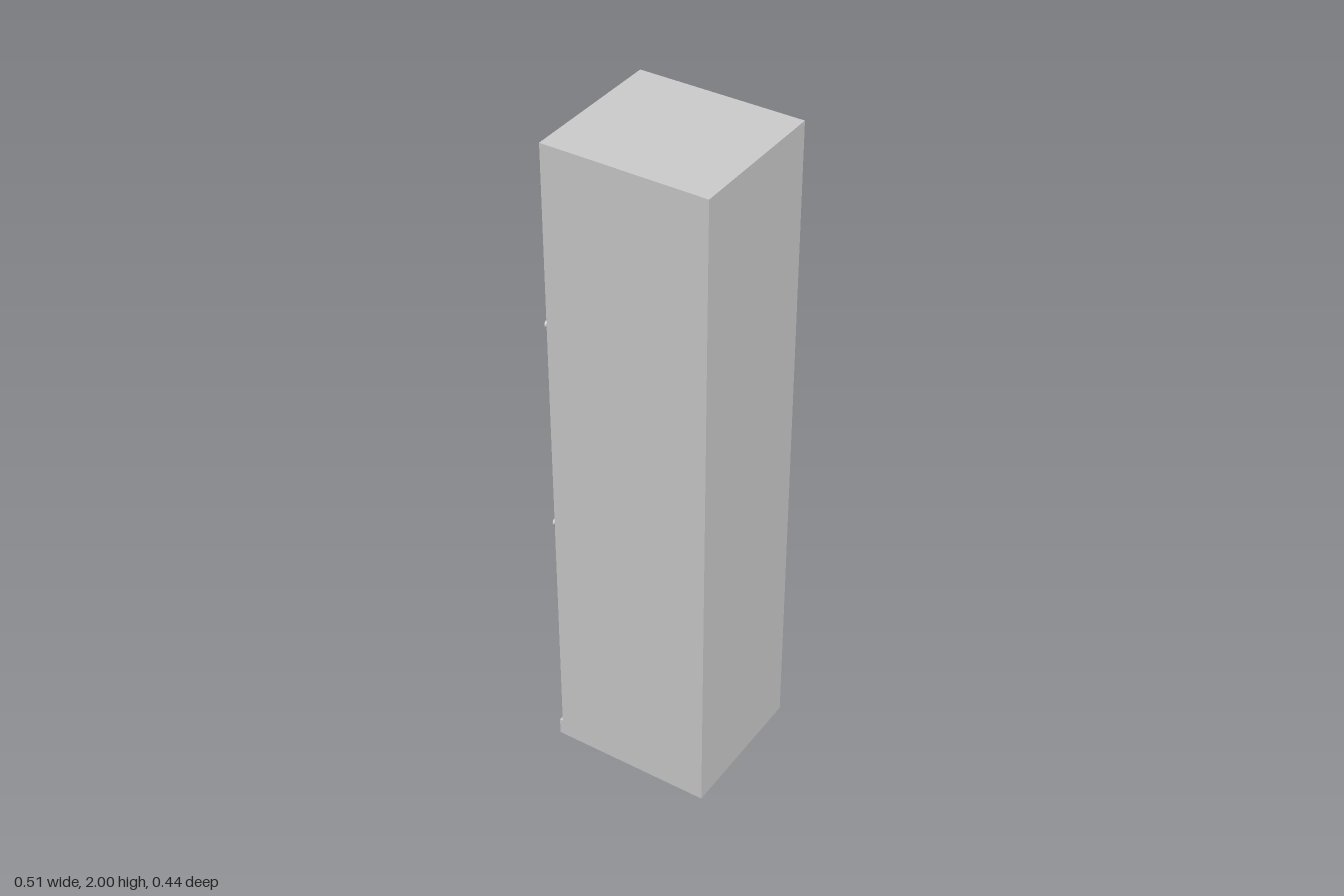
import * as THREE from 'three';

const material = new THREE.MeshStandardMaterial({ color: 0xcccccc });
const FACE = -0.23; // x of the cabinet face that carries the doors

function add(parent, name, geometry, x = 0, y = 0, z = 0) {
  const mesh = new THREE.Mesh(geometry, material);
  mesh.name = name;
  mesh.position.set(x, y, z);
  parent.add(mesh);
  return mesh;
}

function rectangle(target, w, h) {
  target.moveTo(-w, -h);
  target.lineTo(w, -h);
  target.lineTo(w, h);
  target.lineTo(-w, h);
  target.closePath();
  return target;
}

// Door: bevelled frame around a recessed panel, facing -x, with a turned knob
function makeDoor(name, y0, y1, knobY) {
  const door = new THREE.Group();
  door.name = name;
  const bevel = 0.004, halfW = 0.21, halfH = (y1 - y0) / 2, rail = 0.045;
  const midY = (y0 + y1) / 2;

  const shape = rectangle(new THREE.Shape(), halfW - bevel, halfH - bevel);
  shape.holes.push(rectangle(new THREE.Path(), halfW - rail + bevel, halfH - rail + bevel));
  const frame = new THREE.ExtrudeGeometry(shape, {
    depth: 0.0055, bevelEnabled: true, bevelSize: bevel, bevelThickness: bevel, bevelSegments: 1,
  });
  frame.rotateY(-Math.PI / 2);
  add(door, 'doorFrame', frame, FACE, midY);

  // Flat panel set back behind the frame
  add(door, 'doorPanel',
    new THREE.BoxGeometry(0.004, 2 * (halfH - rail) + 0.01, 2 * (halfW - rail) + 0.01),
    FACE - 0.002, midY);

  // Knob: slim stem flaring into a round head
  const profile = [[0.009, 0], [0.007, 0.002], [0.007, 0.008], [0.012, 0.011], [0.011, 0.014], [0.006, 0.0155], [0, 0.016]]
    .map(([r, h]) => new THREE.Vector2(r, h));
  const knob = new THREE.LatheGeometry(profile, 24);
  knob.rotateZ(Math.PI / 2);
  add(door, 'knob', knob, FACE - 0.009, knobY, 0.19);
  return door;
}

export function createModel() {
  const cabinet = new THREE.Group();
  cabinet.name = 'tallCabinet';

  add(cabinet, 'body', new THREE.BoxGeometry(0.484, 2, 0.442), FACE + 0.242, 1, 0);
  add(cabinet, 'baseboard', new THREE.BoxGeometry(0.01, 0.052, 0.442), FACE - 0.005, 0.026, 0);

  cabinet.add(makeDoor('lowerDoor', 0.055, 1.315, 0.785));
  cabinet.add(makeDoor('upperDoor', 1.355, 1.985, 1.447));
  return cabinet;
}
